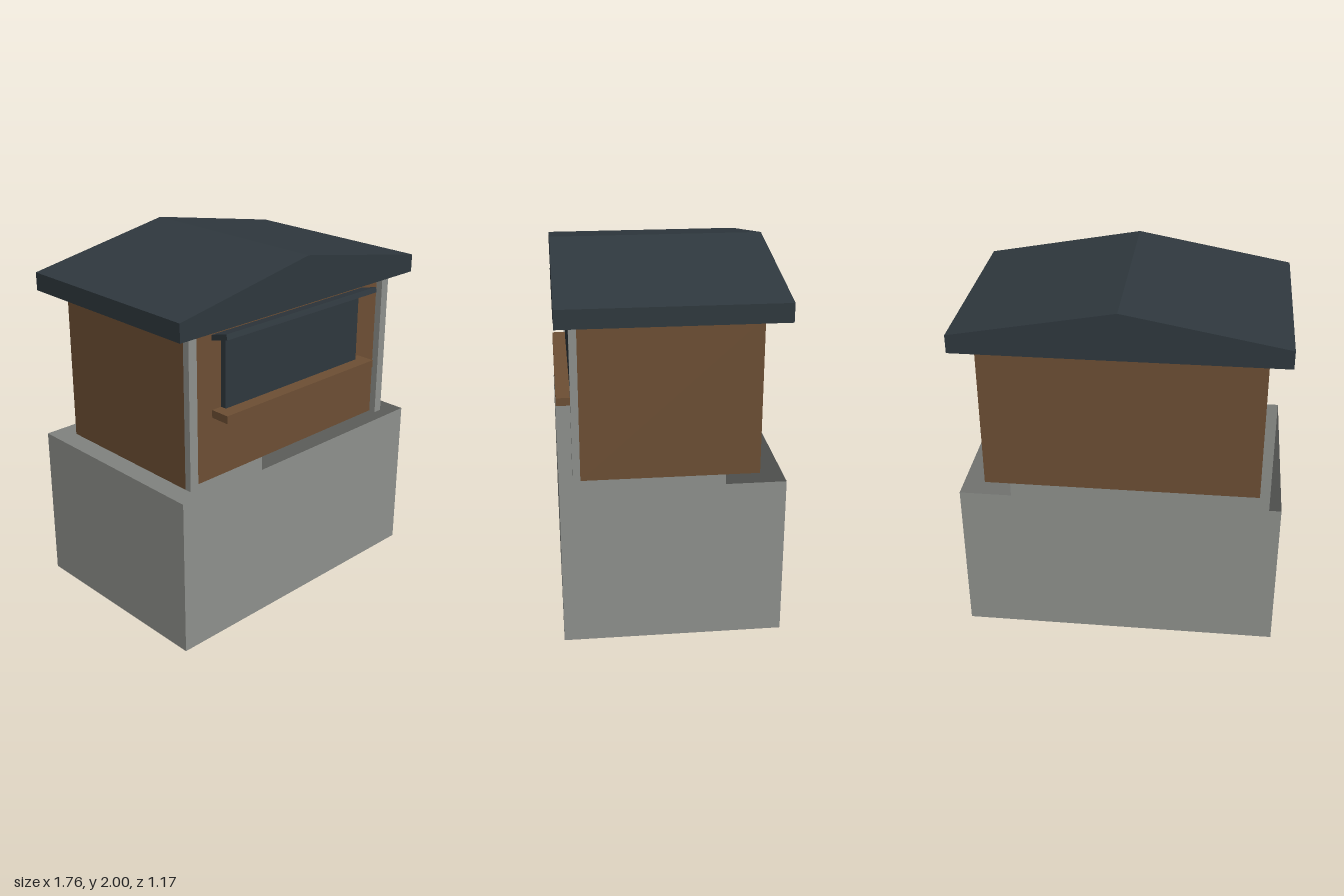
import * as THREE from 'three';

export function createModel() {
  const model = new THREE.Group();
  model.name = 'kioskOnPlinth';

  const mat = (name, color, extra = {}) => {
    const m = new THREE.MeshStandardMaterial({ color, ...extra });
    m.name = name;
    return m;
  };
  const concrete = mat('concreteGrey', 0x8f918d, { side: THREE.DoubleSide });
  const timber = mat('timberBrown', 0x6d4f34);
  const slate = mat('slateBlue', 0x2f383e);

  const add = (name, geometry, material, x = 0, y = 0, z = 0) => {
    const mesh = new THREE.Mesh(geometry, material);
    mesh.name = name;
    mesh.position.set(x, y, z);
    model.add(mesh);
    return mesh;
  };
  // Box given by its minimum and maximum corners
  const box = (name, material, [x0, y0, z0], [x1, y1, z1]) =>
    add(name, new THREE.BoxGeometry(x1 - x0, y1 - y0, z1 - z0), material,
      (x0 + x1) / 2, (y0 + y1) / 2, (z0 + z1) / 2);

  const W = 0.88, D = 0.587;       // half size of plinth and roof
  const HW = 0.765;                // half width of the cabin
  const floorY = 0.885, eaveY = 1.74, frontZ = 0.475;

  // Plinth: thin-walled tub, open at the top (the +y face is dropped)
  const plinth = box('plinth', concrete, [-W, 0, -D], [W, floorY, D]);
  const index = Array.from(plinth.geometry.index.array);
  index.splice(12, 6);
  plinth.geometry.setIndex(index);
  plinth.geometry.clearGroups();

  // Cabin walls
  box('cabin', timber, [-HW, floorY, -0.47], [HW, eaveY, frontZ]);

  // Front corner posts
  for (const s of [-1, 1]) {
    const post = box(s < 0 ? 'rightPost' : 'leftPost', concrete,
      [HW - 0.053, floorY, frontZ], [HW, eaveY, 0.515]);
    post.position.x *= s;
  }

  // Serving hatch, counter and tilted awning
  box('hatch', slate, [-0.513, 1.275, frontZ], [0.513, 1.645, 0.51]);
  box('counter', timber, [-0.575, 1.232, 0.47], [0.575, 1.275, D]);
  const awning = add('awning', new THREE.BoxGeometry(1.15, 0.03, 0.118), slate, 0, 1.68, 0.527);
  awning.rotation.x = -THREE.MathUtils.degToRad(15);

  // Gabled roof with deep eaves
  const gable = new THREE.Shape([
    [-W, eaveY], [W, eaveY], [W, 1.84], [0, 2], [-W, 1.84],
  ].map(([x, y]) => new THREE.Vector2(x, y)));
  add('roof', new THREE.ExtrudeGeometry(gable, { depth: 2 * D, bevelEnabled: false }), slate, 0, 0, -D);

  return model;
}
